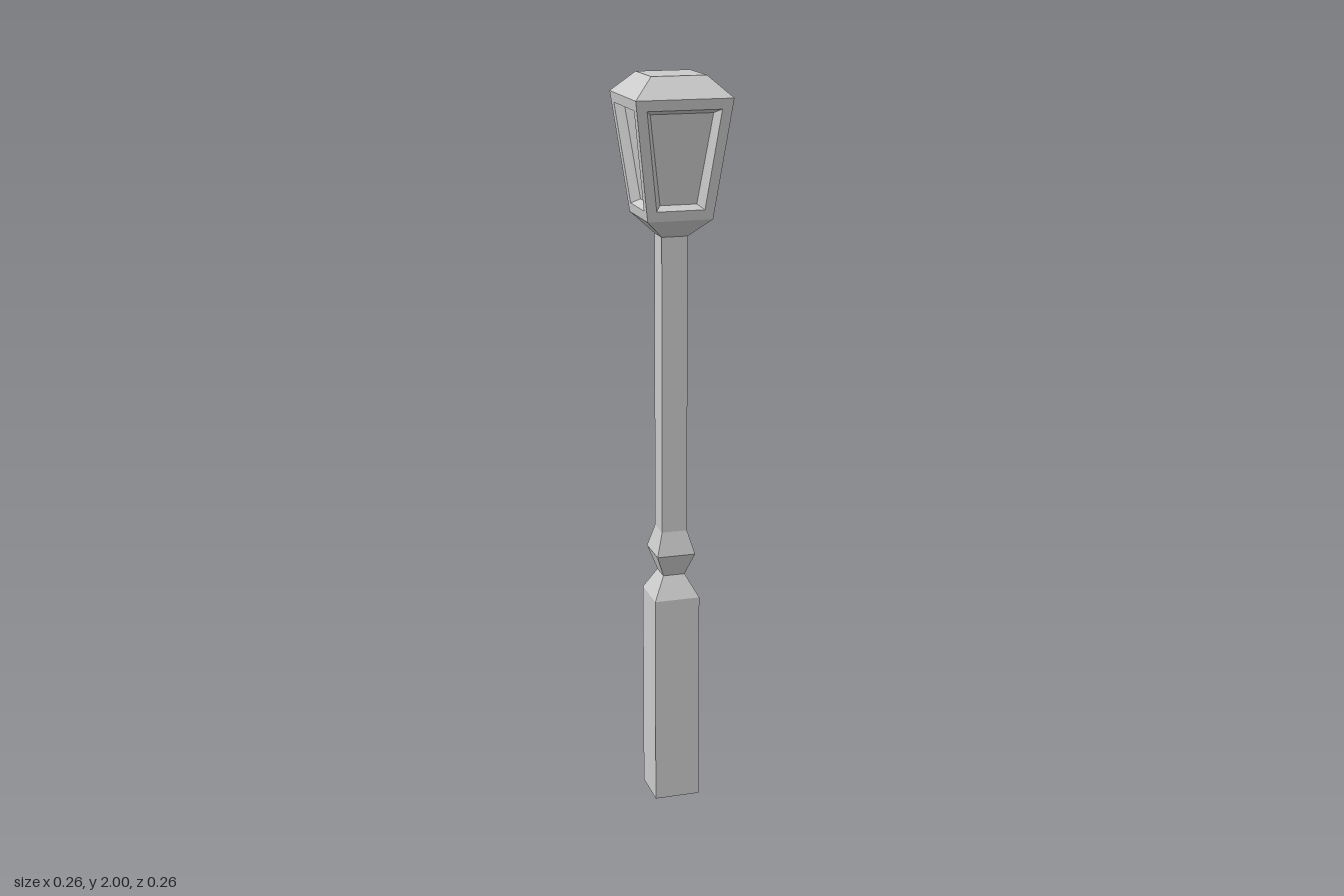
import * as THREE from 'three';

const material = new THREE.MeshStandardMaterial({ color: 0xcccccc, flatShading: true });

// Square-section solid turned from [halfWidth, y] points, bottom to top
function squareTurned(name, profile) {
  const points = profile.map(([w, y]) => new THREE.Vector2(w * Math.SQRT2, y));
  const geometry = new THREE.LatheGeometry(points, 4, Math.PI / 4).toNonIndexed();
  geometry.computeVertexNormals();
  const mesh = new THREE.Mesh(geometry, material);
  mesh.name = name;
  return mesh;
}

// Lantern wall: leans outwards towards the top
const LOW = { y: 1.637, w: 0.087 }, HIGH = { y: 1.947, w: 0.128 };
const wallZ = (y) => LOW.w + ((y - LOW.y) * (HIGH.w - LOW.w)) / (HIGH.y - LOW.y);

// Four corners of a trapezoid lying in the wall, counter-clockwise, set back by depth
function trapezoid(y0, w0, y1, w1, depth = 0) {
  return [[-w0, y0], [w0, y0], [w1, y1], [-w1, y1]].map(([x, y]) => [x, y, wallZ(y) - depth]);
}

function quadMesh(name, quads) {
  const positions = quads.flatMap(([a, b, c, d]) => [a, b, c, a, c, d].flat());
  const geometry = new THREE.BufferGeometry();
  geometry.setAttribute('position', new THREE.Float32BufferAttribute(positions, 3));
  geometry.computeVertexNormals();
  const mesh = new THREE.Mesh(geometry, material);
  mesh.name = name;
  return mesh;
}

// Band of quads between an outer and an inner corner loop
const band = (outer, inner) => outer.map((p, i) => {
  const j = (i + 1) % 4;
  return [p, outer[j], inner[j], inner[i]];
});

export function createModel() {
  const model = new THREE.Group();
  model.name = 'streetLamp';

  // Post: base block, waisted collar and shaft
  model.add(squareTurned('post', [
    [0, 0], [0.0625, 0], [0.0625, 0.592], [0.03, 0.653],
    [0.053, 0.716], [0.035, 0.78], [0.035, 1.587],
  ]));

  // Flared lantern bottom and roof
  model.add(squareTurned('lanternBase', [[0.035, 1.587], [LOW.w, LOW.y]]));
  model.add(squareTurned('roof', [[HIGH.w, HIGH.y], [0.073, 2], [0, 2]]));

  // Four sides, each a frame with bevelled reveals around a recessed pane
  const outer = trapezoid(LOW.y, LOW.w, HIGH.y, HIGH.w);
  const opening = trapezoid(1.663, 0.064, 1.92, 0.098);
  const pane = trapezoid(1.675, 0.049, 1.909, 0.083, 0.024);
  for (let i = 0; i < 4; i++) {
    const side = new THREE.Group();
    side.name = 'lanternSide';
    side.add(
      quadMesh('windowFrame', band(outer, opening)),
      quadMesh('windowReveal', band(opening, pane)),
      quadMesh('windowPane', [pane]),
    );
    side.rotation.y = (i * Math.PI) / 2;
    model.add(side);
  }
  return model;
}
